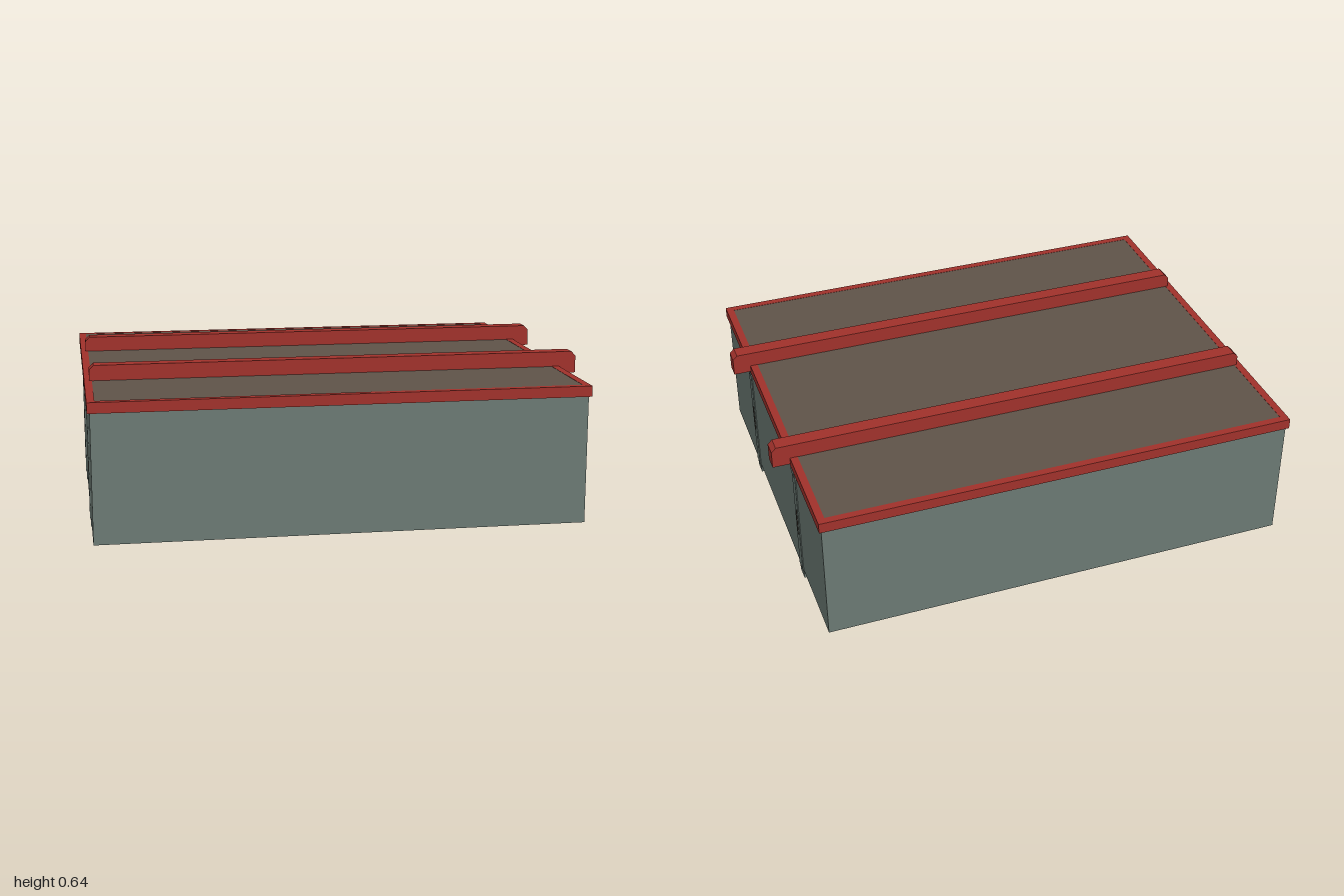
import * as THREE from 'three';

const flat = (name, color) => {
  const m = new THREE.MeshStandardMaterial({ color });
  m.name = name;
  return m;
};

// closed 2D outline from a short list of points
const outline = (pts) => new THREE.Shape(pts.map(([a, b]) => new THREE.Vector2(a, b)));
const rect = (w, h) => outline([[-w / 2, -h / 2], [w / 2, -h / 2], [w / 2, h / 2], [-w / 2, h / 2]]);
const extrude = (shape, depth) => new THREE.ExtrudeGeometry(shape, { depth, bevelEnabled: false });

export function createModel() {
  const grey = flat('greyPaint', 0x6b7973);
  const red = flat('redPaint', 0xa0312b);
  const brown = flat('brownBoard', 0x5f5349);

  const root = new THREE.Group();
  root.name = 'crate';
  const add = (name, geo, mat, x, y, z, parent = root) => {
    const mesh = new THREE.Mesh(geo, mat);
    mesh.name = name;
    mesh.position.set(x, y, z);
    parent.add(mesh);
    return mesh;
  };

  const cx = -0.035; // the box sits off centre because the beams overhang at +x

  // box walls, with a brown underside
  add('body', new THREE.BoxGeometry(1.91, 0.51, 1.565), [grey, grey, grey, brown, grey, grey],
    cx, 0.291, 0);

  // lid: red frame around a brown panel, flush on top
  const frame = rect(1.93, 1.585);
  frame.holes.push(rect(1.87, 1.525));
  add('lidFrame', extrude(frame, 0.042).rotateX(-Math.PI / 2), red, cx, 0.541, 0);
  add('lidPanel', new THREE.BoxGeometry(1.87, 0.04, 1.525), brown, cx, 0.562, 0);

  // two carrying beams with chamfered ends
  const beam = outline([
    [-0.98, 0.555], [1.0, 0.555], [1.0, 0.625], [0.982, 0.643], [-0.962, 0.643], [-0.98, 0.625],
  ]);
  for (const s of [1, -1]) {
    add('beam', extrude(beam, 0.06), red, 0, 0, s * 0.338 - 0.03);
  }

  // end straps: a slim strip flaring out at the lid and at the foot
  const strap = outline([
    [-0.03, 0.036], [0.03, 0.036], [0.023, 0.055], [0.023, 0.5],
    [0.03, 0.525], [0.03, 0.541], [-0.03, 0.541], [-0.03, 0.525], [-0.023, 0.5], [-0.023, 0.055],
  ]);
  for (const side of [1, -1]) {
    for (const s of [1, -1]) {
      const fitting = new THREE.Group();
      fitting.name = 'endStrap';
      fitting.position.set(cx + side * 0.953, 0, s * 0.373);
      fitting.rotation.y = side * Math.PI / 2;
      root.add(fitting);
      add('strap', extrude(strap, 0.006), grey, 0, 0, 0, fitting);
      add('topClip', new THREE.BoxGeometry(0.05, 0.035, 0.01), grey, 0, 0.522, 0.004, fitting);
      add('foot', new THREE.BoxGeometry(0.06, 0.046, 0.037), grey, 0, 0.023, -0.0155, fitting);
      add('strapInlay', new THREE.BoxGeometry(0.012, 0.12, 0.004), brown, 0, 0.27, 0.005, fitting);
    }
  }

  return root;
}
